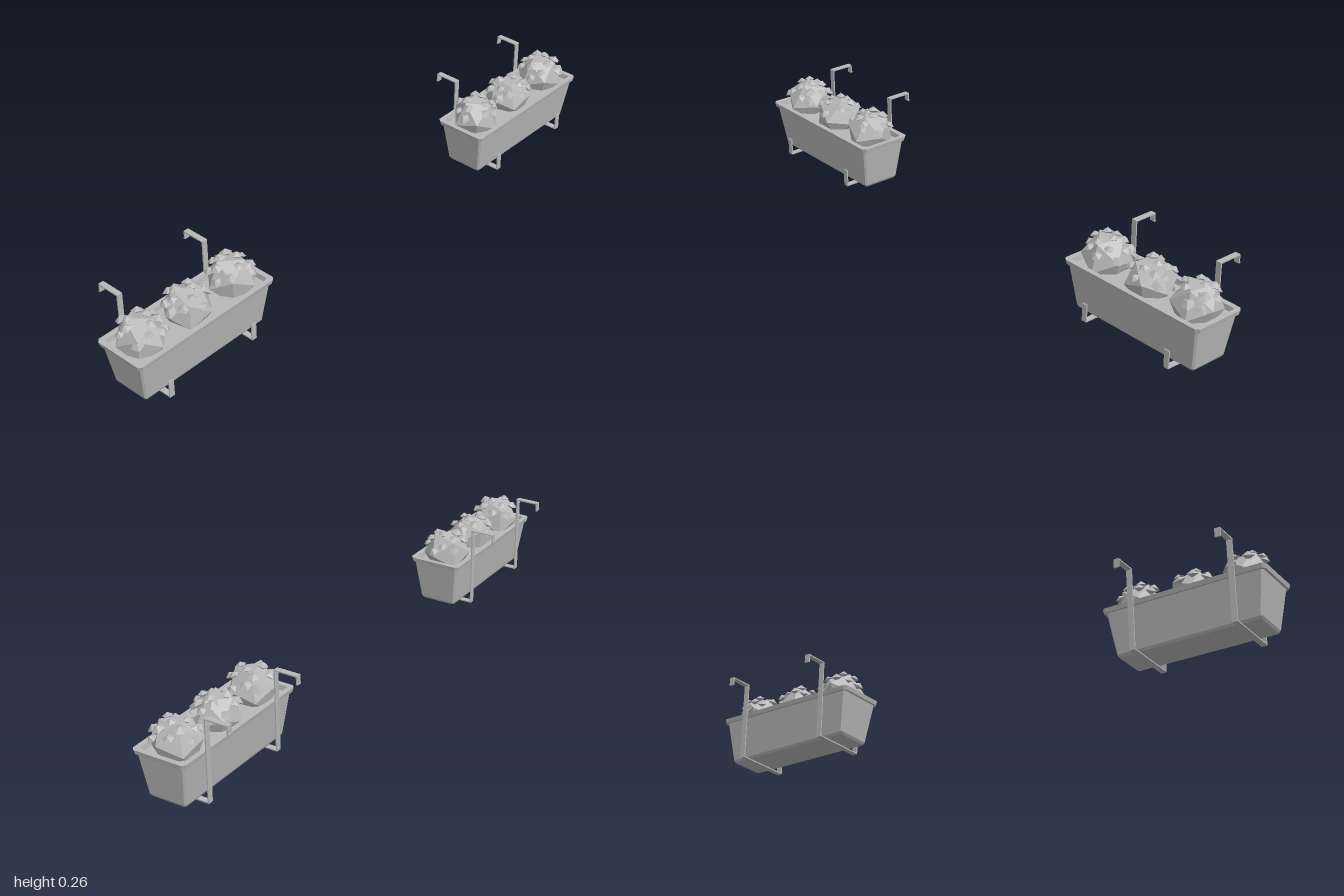
import * as THREE from 'three';

const grey = new THREE.MeshStandardMaterial({ color: 0xb8b8b8, flatShading: true });
grey.name = 'plain grey';

function rng(seed) {
  let s = seed;
  return () => ((s = (s * 16807) % 2147483647) / 2147483647);
}

function add(parent, name, geometry, x = 0, y = 0, z = 0) {
  const mesh = new THREE.Mesh(geometry, grey);
  mesh.name = name;
  mesh.position.set(x, y, z);
  parent.add(mesh);
  return mesh;
}

// Rectangle with cut corners, walked from +x towards +z
function ring([hx, hz, y, c]) {
  return [[hx, -hz + c], [hx, hz - c], [hx - c, hz], [-hx + c, hz],
    [-hx, hz - c], [-hx, -hz + c], [-hx + c, -hz], [hx - c, -hz]]
    .map(([x, z]) => new THREE.Vector3(x, y, z));
}

// Skin a stack of rings, closing both ends
function loft(sections) {
  const rings = sections.map(ring);
  const points = [];
  const n = rings[0].length;
  for (let r = 0; r < rings.length - 1; r++) {
    for (let i = 0; i < n; i++) {
      const j = (i + 1) % n;
      const a = rings[r][i], b = rings[r][j], c = rings[r + 1][i], d = rings[r + 1][j];
      points.push(a, c, b, b, c, d);
    }
  }
  const last = rings[rings.length - 1];
  for (let i = 1; i < n - 1; i++) {
    points.push(rings[0][0], rings[0][i], rings[0][i + 1]);
    points.push(last[0], last[i + 1], last[i]);
  }
  const g = new THREE.BufferGeometry().setFromPoints(points);
  g.computeVertexNormals();
  return g;
}

// Flat metal strap bent under the trough and hooked over a railing
function makeBracket() {
  const bracket = new THREE.Group();
  bracket.name = 'bracket';
  const t = 0.004;
  const path = [[0.132, 0.055], [0.132, 0.002], [-0.055, 0.002],
    [-0.055, 0.261], [-0.129, 0.261], [-0.129, 0.237]];
  for (let i = 0; i < path.length - 1; i++) {
    const [z0, y0] = path[i], [z1, y1] = path[i + 1];
    const strip = new THREE.BoxGeometry(0.018, Math.abs(y1 - y0) + t, Math.abs(z1 - z0) + t);
    add(bracket, 'strap', strip, 0, (y0 + y1) / 2, (z0 + z1) / 2);
  }
  add(bracket, 'hookTip', new THREE.BoxGeometry(0.018, 0.005, 0.005), 0, 0.2375, -0.13);
  return bracket;
}

// Faceted bush with small pointed blossoms over its upper half
function makePlant(seed, height) {
  const rand = rng(seed);
  const plant = new THREE.Group();
  plant.name = 'plant';
  const foliage = new THREE.IcosahedronGeometry(1, 0);
  foliage.rotateX(rand() * 3).rotateY(rand() * 6);
  const r = 0.077;
  foliage.scale(r, height, r);
  add(plant, 'foliage', foliage);

  const blossom = new THREE.LatheGeometry([[0, -0.013], [0.019, 0], [0, 0.012]]
    .map(([x, y]) => new THREE.Vector2(x, y)), 5);
  const count = 14;
  const up = new THREE.Vector3(0, 1, 0);
  for (let i = 0; i < count; i++) {
    const h = 0.25 + 0.72 * (i + 0.5) / count;
    const a = i * 2.4 + rand() * 0.7;
    const s = Math.sqrt(1 - h * h);
    const dir = new THREE.Vector3(Math.cos(a) * s, h, Math.sin(a) * s);
    const flower = add(plant, 'blossom', blossom,
      dir.x * r * 0.92, dir.y * height * 0.92, dir.z * r * 0.92);
    flower.quaternion.setFromUnitVectors(up, dir.add(up).normalize());
    flower.rotateY(rand() * 6);
    flower.scale.setScalar(0.75 + rand() * 0.35);
  }
  return plant;
}

function makePlanter(seed) {
  const planter = new THREE.Group();
  planter.name = 'planter';

  // Tapered trough with an overhanging rim, ending at the soil
  add(planter, 'trough', loft([
    [0.226, 0.058, 0.007, 0.004],
    [0.231, 0.063, 0.015, 0.005],
    [0.251, 0.080, 0.147, 0.006],
    [0.259, 0.086, 0.147, 0.010],
    [0.262, 0.089, 0.161, 0.010],
    [0.246, 0.073, 0.161, 0.005],
    [0.244, 0.071, 0.144, 0.005],
  ]), 0, 0, 0.038);

  [-0.162, 0.162].forEach((x) => {
    const bracket = makeBracket();
    bracket.position.x = x;
    planter.add(bracket);
  });

  [[-0.174, 0.082], [0, 0.072], [0.174, 0.08]].forEach(([x, height], i) => {
    const plant = makePlant(seed + i * 977, height);
    plant.position.set(x, 0.17, 0.037);
    planter.add(plant);
  });
  return planter;
}

export function createModel() {
  const model = new THREE.Group();
  model.name = 'balconyPlanters';
  [-0.738, 0.738].forEach((x, i) => {
    const planter = makePlanter(4211 + i * 7919);
    planter.position.x = x;
    model.add(planter);
  });
  return model;
}
